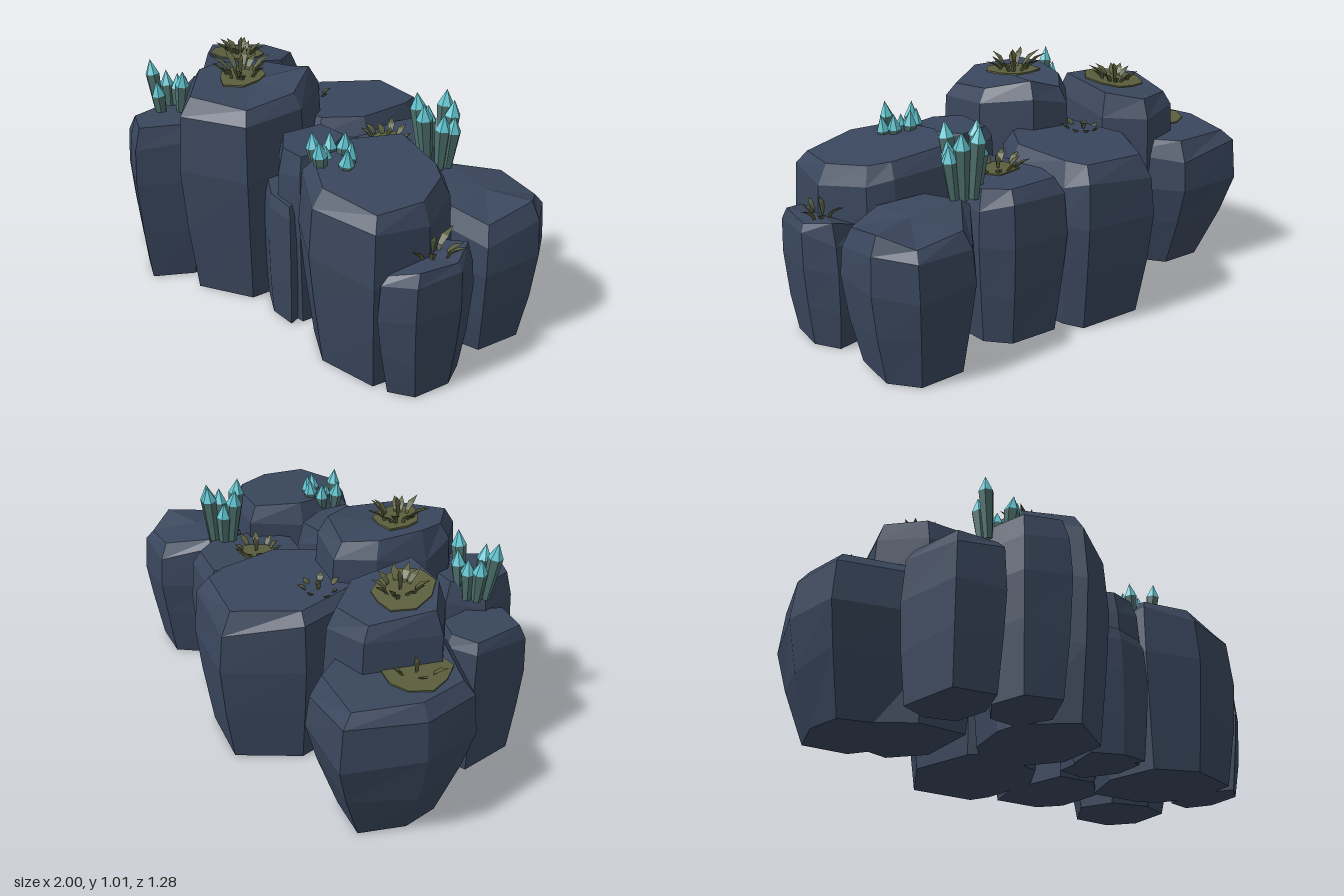
import * as THREE from 'three';

const flat = (name, color) => {
  const m = new THREE.MeshStandardMaterial({ color, flatShading: true });
  m.name = name;
  return m;
};
const stone = flat('slate stone', 0x39465c);
const moss = flat('olive moss', 0x5a5e3d);
const shaftMat = flat('crystal shaft', 0x4d716d);
const tipMat = flat('crystal tip', 0x5fc3ce);

let seed = 7;
const rand = () => (seed = (seed * 16807) % 2147483647) / 2147483647;
const jitter = (a) => (rand() - 0.5) * 2 * a;

// Each rock: widest outline (x, z), top height at its centre, top slope along x and z,
// and optionally the base scale, rim lifts per corner and centre dip
const ROCKS = {
  backLeft: { h: 0.63, sx: -0.03, sz: 0, base: 0.6, pts: [[-0.81, -0.64], [-0.52, -0.53], [-0.42, -0.25], [-0.47, 0.0], [-0.68, 0.1], [-1.0, -0.12], [-0.98, -0.37]] },
  upperLeft: { h: 0.84, sx: 0, sz: 0.14, pts: [[-0.66, -0.38], [-0.45, -0.37], [-0.36, -0.18], [-0.46, 0.13], [-0.69, 0.06], [-0.82, -0.11]] },
  backMiddle: { h: 0.72, sx: 0.02, sz: 0.04, pts: [[-0.1, -0.59], [0.21, -0.47], [0.23, -0.36], [0.18, -0.05], [0.02, 0.1], [-0.3, 0.06], [-0.35, -0.02], [-0.34, -0.35]] },
  backRight: { h: 0.66, sx: -0.02, sz: -0.05, pts: [[0.23, -0.38], [0.46, -0.29], [0.52, -0.16], [0.47, 0.08], [0.28, 0.2], [0.1, 0.12], [0.12, -0.2]] },
  farRight: { h: 0.61, sx: -0.08, sz: 0, base: 0.76, rim: [-0.02, -0.03, 0.02, -0.03, -0.01, 0, 0], pts: [[0.7, -0.285], [0.93, -0.21], [1.0, -0.04], [0.91, 0.2], [0.72, 0.21], [0.53, 0.08], [0.5, -0.12]] },
  tallCentre: { h: 0.91, sx: -0.02, sz: -0.02, dip: 0.02, rim: [-0.03, 0.02, -0.02, -0.04, -0.02, 0.01, 0.01, -0.01], pts: [[-0.22, -0.1], [-0.05, -0.03], [0.04, 0.2], [-0.04, 0.46], [-0.33, 0.55], [-0.48, 0.33], [-0.47, 0.2], [-0.37, 0.0]] },
  middle: { h: 0.75, sx: -0.04, sz: 0, pts: [[0.06, 0.1], [0.22, 0.12], [0.27, 0.3], [0.22, 0.45], [0.09, 0.43], [-0.01, 0.31]] },
  lowMiddle: { h: 0.56, sx: -0.1, sz: -0.1, pts: [[0.02, 0.2], [0.18, 0.28], [0.2, 0.485], [0.06, 0.455], [-0.06, 0.35]] },
  frontRight: { h: 0.755, sx: -0.1, sz: -0.06, base: 0.82, pts: [[0.4, 0.0], [0.67, 0.12], [0.75, 0.2], [0.8, 0.42], [0.71, 0.64], [0.41, 0.63], [0.23, 0.47], [0.25, 0.2]] },
  smallRight: { h: 0.53, sx: 0, sz: 0, base: 0.76, rim: [-0.02, 0.02, 0, 0.01, -0.02, -0.02], pts: [[0.74, 0.22], [0.88, 0.24], [0.92, 0.39], [0.85, 0.58], [0.72, 0.63], [0.64, 0.42]] },
  smallLeft: { h: 0.61, sx: -0.05, sz: -0.05, pts: [[-0.84, 0.07], [-0.7, 0.05], [-0.58, 0.13], [-0.59, 0.3], [-0.7, 0.45], [-0.87, 0.36]] },
  frontLeft: { h: 0.72, sx: 0.04, sz: 0, base: 0.78, pts: [[-0.55, 0.22], [-0.41, 0.25], [-0.37, 0.44], [-0.53, 0.615], [-0.68, 0.51], [-0.68, 0.33]] },
};
for (const r of Object.values(ROCKS)) {
  r.cx = r.pts.reduce((s, p) => s + p[0], 0) / r.pts.length;
  r.cz = r.pts.reduce((s, p) => s + p[1], 0) / r.pts.length;
}
const topY = (r, x, z) => r.h + r.sx * (x - r.cx) + r.sz * (z - r.cz);

function rockGeometry({ pts, base = 0.84, rim = [], dip = 0, ...r }) {
  const n = pts.length, pos = [], idx = [];
  // Height fraction and outline scale of the rings up a rock
  const rings = [[0, base], [0.35, base * 0.35 + 0.65], [0.65, 1], [0.9, 0.95], [1, 0.81]];
  rings.forEach(([f, s], i) => pts.forEach(([px, pz], j) => {
    const x = r.cx + (px - r.cx) * s, z = r.cz + (pz - r.cz) * s;
    const wobble = i === 1 || i === 3 ? 0.035 : 0;
    pos.push(x, f * (topY(r, x, z) + f * (rim[j] ?? 0)) + jitter(wobble), z);
  }));
  pos.push(r.cx, 0, r.cz, r.cx, r.h - dip, r.cz);
  const bottom = rings.length * n, top = bottom + 1, last = bottom - n;
  for (let j = 0; j < n; j++) {
    const k = (j + 1) % n;
    for (let i = 0; i < rings.length - 1; i++) {
      const a = i * n + j, b = i * n + k;
      idx.push(b, a, a + n, b, a + n, b + n);
    }
    idx.push(bottom, j, k, top, last + k, last + j);
  }
  return build(pos, idx);
}

function build(pos, idx) {
  const g = new THREE.BufferGeometry();
  g.setAttribute('position', new THREE.Float32BufferAttribute(pos, 3));
  g.setIndex(idx);
  const out = g.toNonIndexed();
  out.computeVertexNormals();
  return out;
}

function addMesh(parent, geo, mat, name) {
  const m = new THREE.Mesh(geo, mat);
  m.name = name;
  parent.add(m);
  return m;
}

// Crystal: flaring six-sided shaft with a pointed tip, leaning away from its cluster
function crystal(x, y, z, height, radius, lean) {
  const g = new THREE.Group();
  g.name = 'crystal';
  const tip = 0.065, shaft = height - tip;
  addMesh(g, new THREE.CylinderGeometry(radius, radius * 0.6, shaft, 6).translate(0, shaft / 2, 0), shaftMat, 'crystalShaft');
  addMesh(g, new THREE.ConeGeometry(radius, tip, 6).translate(0, shaft + tip / 2, 0), tipMat, 'crystalTip');
  g.position.set(x, y, z);
  g.quaternion.setFromUnitVectors(new THREE.Vector3(0, 1, 0), new THREE.Vector3(lean[0], 1, lean[1]).normalize());
  g.rotateY(rand() * 3);
  return g;
}

// Blade: three-sided spike that bulges, then bends outward along +x
function bladeGeometry(len, reach) {
  const rings = [[0, 0.006], [0.35, 0.012], [0.7, 0.017], [1, 0.0005]], pos = [], idx = [];
  rings.forEach(([t, w]) => {
    for (let k = 0; k < 3; k++) {
      const a = k * Math.PI * 2 / 3;
      pos.push(reach * t * t + Math.cos(a) * w * 0.6, len * t * (1 - 0.2 * t), Math.sin(a) * w);
    }
  });
  for (let i = 0; i < 3; i++) for (let k = 0; k < 3; k++) {
    const a = i * 3 + k, b = i * 3 + (k + 1) % 3;
    idx.push(a, a + 3, b, b, a + 3, b + 3);
  }
  return build(pos, idx);
}

// Moss: thin plate with an uneven outline
function mossGeometry(radius) {
  const outline = [];
  for (let i = 0; i < 9; i++) {
    const a = i / 9 * Math.PI * 2, d = radius * (1 + jitter(0.2));
    outline.push(new THREE.Vector2(Math.cos(a) * d * 0.9, Math.sin(a) * d));
  }
  return new THREE.ExtrudeGeometry(new THREE.Shape(outline), { depth: 0.008, bevelEnabled: false }).rotateX(-Math.PI / 2);
}

// Crystal clusters: base height, shoulder radius and [x, z, tip height] for each crystal
const CRYSTALS = [
  { base: 0.66, r: 0.031, list: [[-0.7, 0.34, 0.92], [-0.67, 0.28, 0.86], [-0.62, 0.26, 0.85], [-0.55, 0.28, 0.86], [-0.5, 0.34, 0.91], [-0.6, 0.4, 0.86]] },
  { base: 0.71, r: 0.03, list: [[0.24, 0.4, 0.86], [0.28, 0.34, 0.85], [0.34, 0.32, 0.86], [0.4, 0.36, 0.85], [0.42, 0.41, 0.84], [0.33, 0.47, 0.87], [0.31, 0.4, 0.82]] },
  { base: 0.62, r: 0.034, list: [[0.4, -0.07, 0.91], [0.43, -0.11, 0.85], [0.49, -0.15, 0.92], [0.55, -0.11, 0.9], [0.58, -0.07, 0.85], [0.55, -0.04, 0.86], [0.49, 0.02, 0.91]] },
];

// Tufts: host rock, centre, ring radius, blade count, blade length, moss patch radius
const TUFTS = [
  ['tallCentre', -0.27, 0.23, 0.06, 11, 0.1, 0.115],
  ['upperLeft', -0.59, -0.11, 0.065, 11, 0.085, 0.13],
  ['backLeft', -0.79, -0.23, 0.06, 5, 0.07, 0.145],
  ['backRight', 0.27, -0.07, 0.08, 10, 0.07, 0.08],
  ['backMiddle', -0.22, -0.17, 0.07, 7, 0.04, 0],
  ['smallRight', 0.79, 0.4, 0.06, 8, 0.085, 0],
];

export function createModel() {
  const model = new THREE.Group();
  model.name = 'rockCluster';
  for (const [name, r] of Object.entries(ROCKS)) addMesh(model, rockGeometry(r), stone, name + 'Rock');

  CRYSTALS.forEach(({ base, r, list }) => {
    const cluster = new THREE.Group();
    cluster.name = 'crystalCluster';
    const cx = list.reduce((s, p) => s + p[0], 0) / list.length;
    const cz = list.reduce((s, p) => s + p[1], 0) / list.length;
    for (const [x, z, top] of list) {
      const lean = [(x - cx) * 1.4, (z - cz) * 1.4], h = top - base;
      cluster.add(crystal(x - lean[0] * h, base, z - lean[1] * h, h, r, lean));
    }
    model.add(cluster);
  });

  for (const [host, cx, cz, radius, count, len, patch] of TUFTS) {
    const r = ROCKS[host], tuft = new THREE.Group();
    tuft.name = host + 'Tuft';
    // Moss lies on the sloping rock top
    if (patch) {
      const m = addMesh(tuft, mossGeometry(patch), moss, 'mossPatch');
      m.position.set(cx, topY(r, cx, cz) - 0.002, cz);
      m.quaternion.setFromUnitVectors(new THREE.Vector3(0, 1, 0), new THREE.Vector3(-r.sx, 1, -r.sz).normalize());
    }
    for (let i = 0; i < count; i++) {
      const a = i / count * Math.PI * 2 + jitter(0.2), d = radius * (0.6 + 0.4 * rand());
      const l = len * (0.7 + 0.4 * rand());
      const x = cx + Math.cos(a) * d, z = cz + Math.sin(a) * d;
      const blade = addMesh(tuft, bladeGeometry(l, l * (0.5 + 0.5 * rand())), moss, 'grassBlade');
      blade.position.set(x, topY(r, x, z) - 0.01, z);
      blade.rotation.y = -a;
    }
    const middle = addMesh(tuft, bladeGeometry(len * 1.25, 0.01), moss, 'middleBlade');
    middle.position.set(cx, topY(r, cx, cz) - 0.005, cz);
    model.add(tuft);
  }
  return model;
}
